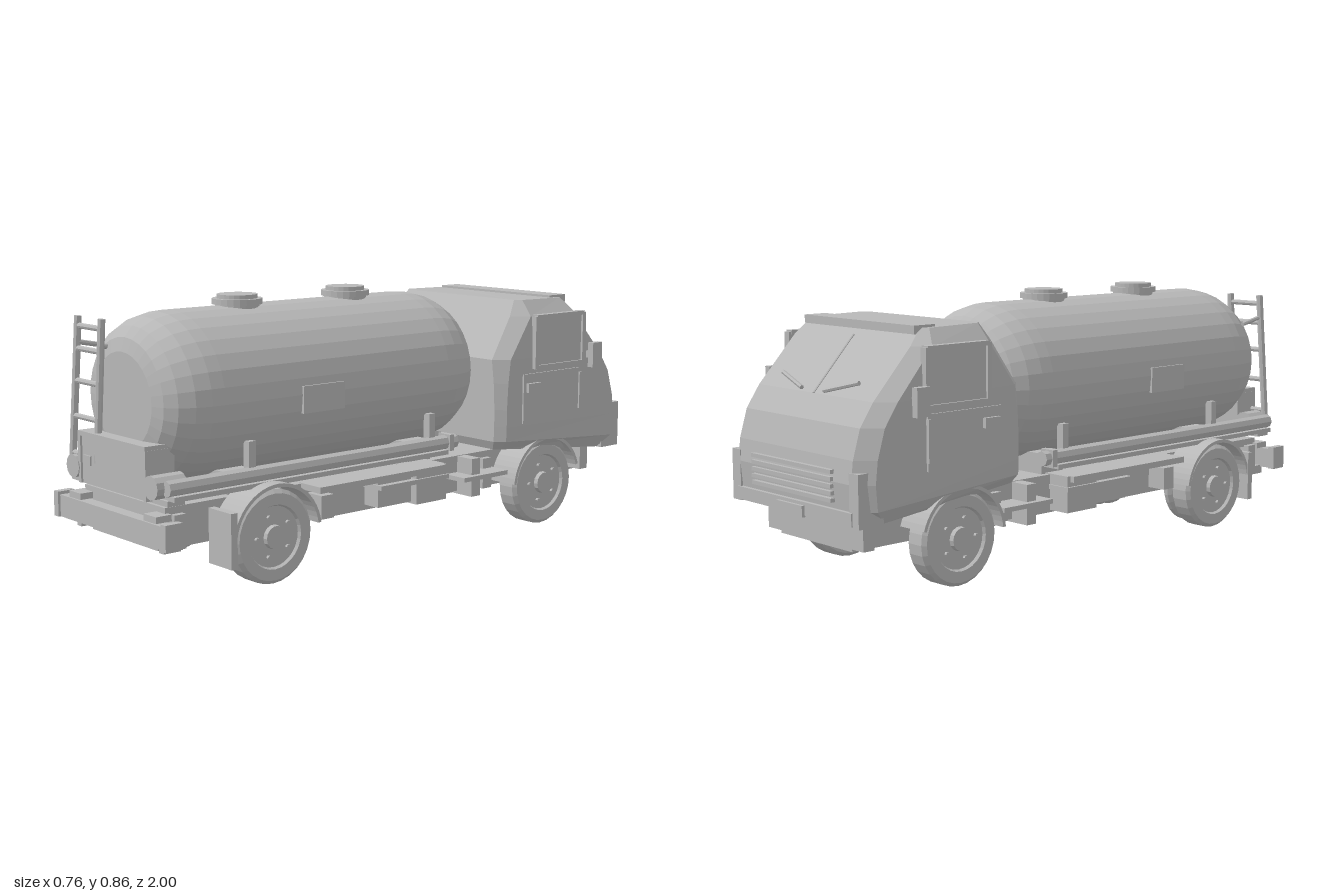
import * as THREE from 'three';

export function createModel() {
  const truck = new THREE.Group();
  truck.name = 'tankerTruck';
  const grey = new THREE.MeshStandardMaterial({ color: 0xb8b8b8, flatShading: true, side: THREE.DoubleSide });
  grey.name = 'plain grey';

  const add = (name, geometry, parent = truck) => {
    const mesh = new THREE.Mesh(geometry, grey);
    mesh.name = name;
    parent.add(mesh);
    return mesh;
  };
  // Box given by its limits on each axis
  const box = (name, x0, x1, y0, y1, z0, z1) => {
    const m = add(name, new THREE.BoxGeometry(x1 - x0, y1 - y0, z1 - z0));
    m.position.set((x0 + x1) / 2, (y0 + y1) / 2, (z0 + z1) / 2);
    return m;
  };
  // The same box on both sides of the truck
  const pair = (name, x0, x1, ...rest) => {
    box(name + 'Left', x0, x1, ...rest);
    box(name + 'Right', -x1, -x0, ...rest);
  };
  // Round bar between two points
  const rod = (name, a, b, r, sides = 8) => {
    const p = new THREE.Vector3(...a), q = new THREE.Vector3(...b);
    const m = add(name, new THREE.CylinderGeometry(r, r, p.distanceTo(q), sides));
    m.position.copy(p).add(q).multiplyScalar(0.5);
    m.quaternion.setFromUnitVectors(new THREE.Vector3(0, 1, 0), q.sub(p).normalize());
    return m;
  };

  // Tank with rounded ends, slightly wider than tall
  const cap = [[0, 0], [0.155, 0], [0.2, 0.012], [0.235, 0.04], [0.26, 0.085], [0.272, 0.135], [0.275, 0.18]];
  const profile = [
    ...cap.map(([r, d]) => new THREE.Vector2(r, -0.34 + d)),
    ...cap.map(([r, d]) => new THREE.Vector2(r, 0.935 - d)).reverse(),
  ];
  const tank = add('tank', new THREE.LatheGeometry(profile, 32).rotateX(Math.PI / 2));
  tank.scale.y = 0.945;
  tank.position.y = 0.563;
  pair('tankPanel', 0.262, 0.28, 0.505, 0.59, 0.3, 0.465);

  // Filler hatches
  for (const z of [0.06, 0.505]) {
    const hatch = add('hatch', new THREE.LatheGeometry([
      [0.07, 0.8], [0.07, 0.825], [0.08, 0.825], [0.08, 0.843], [0.064, 0.843], [0.064, 0.856], [0, 0.856],
    ].map(([r, y]) => new THREE.Vector2(r, y)), 24));
    hatch.position.z = z;
  }

  // Tank supports, hose tubes and side rails
  for (const z of [0.65, -0.095]) {
    pair('tankBracket', 0.235, 0.262, 0.34, 0.44, z - 0.013, z + 0.013);
    box('tankSaddle', -0.2, 0.2, 0.27, 0.34, z - 0.05, z + 0.05);
  }
  box('middleSaddle', -0.18, 0.18, 0.27, 0.32, 0.14, 0.28);
  for (const s of [1, -1]) {
    rod('hoseTube', [s * 0.258, 0.337, 0.96], [s * 0.258, 0.337, -0.2], 0.025);
    rod('rearCanister', [s * 0.215, 0.337, 0.985], [s * 0.215, 0.337, 0.88], 0.037, 12);
  }
  pair('tubeShelf', 0.2, 0.285, 0.3, 0.315, -0.15, 0.95);
  pair('tubeClamp', 0.23, 0.285, 0.31, 0.365, -0.175, -0.155);

  // Chassis
  box('chassisCore', -0.18, 0.18, 0.135, 0.27, -0.9, 0.94);
  box('chassisDeck', -0.22, 0.22, 0.245, 0.272, -0.88, 0.94);
  pair('chassisRail', 0.18, 0.22, 0.15, 0.26, -0.42, 0.43);
  for (const z of [0.9, -0.38, -0.885]) box('crossMember', -0.24, 0.24, 0.145, 0.25, z - 0.02, z + 0.02);

  // Side lockers and rails between the axles
  pair('sideRail', 0.21, 0.315, 0.255, 0.275, -0.11, 0.43);
  pair('lockerBox', 0.2, 0.3, 0.155, 0.275, -0.125, 0.01);
  pair('batteryBox', 0.2, 0.285, 0.165, 0.265, 0.02, 0.165);
  pair('lockerLid', 0.2, 0.308, 0.225, 0.24, -0.13, 0.17);
  pair('smallBox', 0.2, 0.29, 0.165, 0.24, 0.355, 0.405);
  pair('stepBracket', 0.2, 0.29, 0.14, 0.27, -0.295, -0.255);
  pair('stepPlate', 0.2, 0.31, 0.2, 0.215, -0.41, -0.2);

  // Rear cabinet, bumper and lamps
  box('rearCabinet', -0.175, 0.175, 0.29, 0.44, 0.88, 0.975);
  box('cabinetTop', -0.185, 0.185, 0.438, 0.453, 0.88, 0.982);
  pair('cabinetEdge', 0.172, 0.186, 0.29, 0.44, 0.88, 0.982);
  box('cabinetLabel', -0.16, -0.12, 0.35, 0.38, 0.973, 0.981);
  box('rearShelf', -0.265, 0.265, 0.285, 0.302, 0.9, 0.96);
  box('rearBumper', -0.295, 0.295, 0.165, 0.235, 0.95, 0.992);
  pair('bumperEnd', 0.285, 0.31, 0.165, 0.245, 0.94, 1.0);
  pair('bumperLamp', 0.175, 0.24, 0.235, 0.255, 0.93, 0.985);
  pair('bumperBracket', 0.215, 0.24, 0.14, 0.17, 0.9, 0.96);

  // Ladder
  const foot = { l: [-0.245, 0.36, 0.965], r: [-0.103, 0.36, 0.965] };
  const head = { l: [-0.225, 0.8, 0.945], r: [-0.09, 0.8, 0.945] };
  for (const k of ['l', 'r']) rod('ladderRail', foot[k], head[k], 0.012);
  for (const y of [0.375, 0.49, 0.6, 0.7, 0.77]) {
    const z = 0.965 - (y - 0.36) * 0.045;
    rod('ladderRung', [-0.24 + (y - 0.36) * 0.045, y, z], [-0.095, y, z], 0.009);
  }
  for (const x of [-0.225, -0.095]) rod('ladderStay', [x, 0.72, 0.95], [x, 0.7, 0.85], 0.008);

  // Wheels: single in front, double at the rear
  const wheel = (name, s, z, x0, x1, r) => {
    const g = new THREE.Group();
    g.name = name;
    g.position.set(0, 0.147, z);
    g.scale.x = s;
    truck.add(g);
    const w = x1 - x0;
    const tyre = [[0, 0], [r - 0.012, 0], [r, 0.012], [r, w - 0.012], [r - 0.012, w], [0.1, w], [0.095, w - 0.01], [0, w - 0.01]];
    add('tyre', new THREE.LatheGeometry(tyre.map(([a, b]) => new THREE.Vector2(a, b)), 28)
      .rotateZ(-Math.PI / 2).translate(x0, 0, 0), g);
    add('hub', new THREE.CylinderGeometry(0.036, 0.04, 0.03, 14).rotateZ(-Math.PI / 2).translate(x1 - 0.01, 0, 0), g);
    for (let i = 0; i < 5; i++) {
      const a = i * Math.PI * 0.4 + 0.3;
      add('wheelBolt', new THREE.CylinderGeometry(0.007, 0.007, 0.012, 6).rotateZ(Math.PI / 2)
        .translate(x1 - 0.007, Math.cos(a) * 0.065, Math.sin(a) * 0.065), g);
    }
  };
  // Curved mudguard made from an arc-shaped strip
  const mudguard = (name, s, z, from, to) => {
    const arc = new THREE.Shape();
    arc.absarc(0, 0, 0.168, from, to, false);
    arc.absarc(0, 0, 0.157, to, from, true);
    const m = add(name, new THREE.ExtrudeGeometry(arc, { depth: 0.11, bevelEnabled: false, curveSegments: 12 })
      .rotateY(-Math.PI / 2).translate(0.055, 0, 0));
    m.position.set(s * 0.275, 0.147, z);
  };
  for (const s of [1, -1]) {
    wheel('frontWheel', s, -0.59, 0.23, 0.312, 0.147);
    wheel('rearOuterWheel', s, 0.605, 0.23, 0.312, 0.147);
    wheel('rearInnerWheel', s, 0.605, 0.178, 0.217, 0.135);
    mudguard('rearMudguard', s, 0.605, 0.15, Math.PI - 0.15);
    mudguard('frontMudguard', s, -0.59, 0.1, Math.PI - 0.3);
  }
  pair('mudFlap', 0.22, 0.333, 0.08, 0.25, 0.762, 0.785);
  for (const z of [0.605, -0.59]) rod('axle', [-0.24, 0.147, z], [0.24, 0.147, z], 0.03);

  // Cab: rings of [back height, front height, back z, front z, half width, back corner, front corner]
  const rings = [
    [0.29, 0.238, -0.36, -0.92, 0.305, 0.02, 0.04],
    [0.32, 0.28, -0.345, -0.972, 0.333, 0.03, 0.05],
    [0.37, 0.36, -0.345, -0.98, 0.335, 0.03, 0.05],
    [0.43, 0.43, -0.345, -0.972, 0.335, 0.03, 0.05],
    [0.52, 0.52, -0.345, -0.945, 0.335, 0.035, 0.05],
    [0.6, 0.59, -0.345, -0.897, 0.335, 0.045, 0.05],
    [0.74, 0.74, -0.44, -0.757, 0.33, 0.05, 0.045],
    [0.793, 0.79, -0.475, -0.705, 0.285, 0.02, 0.02],
  ].map(([yb, yf, zb, zf, w, cb, cf]) => {
    const half = [[w - cb, yb, zb], [w, yb, zb - cb], [w, yf, zf + cf], [w - cf, yf, zf]];
    return [...half, ...half.map(([x, y, z]) => [-x, y, z]).reverse()];
  });
  const verts = [];
  for (let i = 0; i + 1 < rings.length; i++) {
    for (let j = 0; j < 8; j++) {
      const k = (j + 1) % 8, lo = rings[i], hi = rings[i + 1];
      verts.push(...lo[j], ...lo[k], ...hi[k], ...lo[j], ...hi[k], ...hi[j]);
    }
  }
  const bottom = rings[0], top = rings[rings.length - 1];
  for (let j = 1; j < 7; j++) {
    verts.push(...top[0], ...top[j], ...top[j + 1], ...bottom[0], ...bottom[j + 1], ...bottom[j]);
  }
  const cabShell = new THREE.BufferGeometry();
  cabShell.setAttribute('position', new THREE.Float32BufferAttribute(verts, 3));
  cabShell.computeVertexNormals();
  add('cab', cabShell);
  box('sunVisor', -0.27, 0.27, 0.772, 0.798, -0.73, -0.65);

  // Doors, windows, handles and mirrors
  pair('doorPanel', 0.33, 0.341, 0.375, 0.545, -0.74, -0.45);
  pair('doorWindow', 0.325, 0.342, 0.57, 0.735, -0.74, -0.51);
  for (const z of [-0.745, -0.505]) pair('windowPost', 0.325, 0.35, 0.56, 0.74, z - 0.008, z + 0.008);
  for (const y of [0.565, 0.738]) pair('windowEdge', 0.322, 0.35, y - 0.007, y + 0.007, -0.745, -0.505);
  pair('doorHandle', 0.335, 0.353, 0.482, 0.513, -0.525, -0.463);
  pair('doorEdge', 0.33, 0.347, 0.4, 0.53, -0.742, -0.73);
  pair('mirror', 0.355, 0.378, 0.545, 0.632, -0.81, -0.762);
  pair('mirrorArm', 0.32, 0.36, 0.575, 0.6, -0.795, -0.775);

  // Windscreen divider and wipers
  rod('windscreenDivider', [0, 0.59, -0.897], [0, 0.755, -0.743], 0.004, 6);
  for (const s of [1, -1]) rod('wiper', [s * 0.055, 0.602, -0.9], [s * 0.19, 0.635, -0.872], 0.007, 6);

  // Grille, front bumper and lamps
  for (let i = 0; i < 5; i++) {
    const y = 0.305 + i * 0.021;
    box('grilleBar', -0.2, 0.2, y - 0.006, y + 0.006, -0.99, -0.965);
  }
  box('frontBumper', -0.29, 0.29, 0.24, 0.28, -0.985, -0.9);
  pair('bumperCorner', 0.275, 0.318, 0.235, 0.3, -0.98, -0.89);
  pair('frontLamp', 0.275, 0.318, 0.3, 0.395, -0.98, -0.92);
  box('numberPlate', -0.065, 0.065, 0.235, 0.27, -0.995, -0.982);

  return truck;
}
